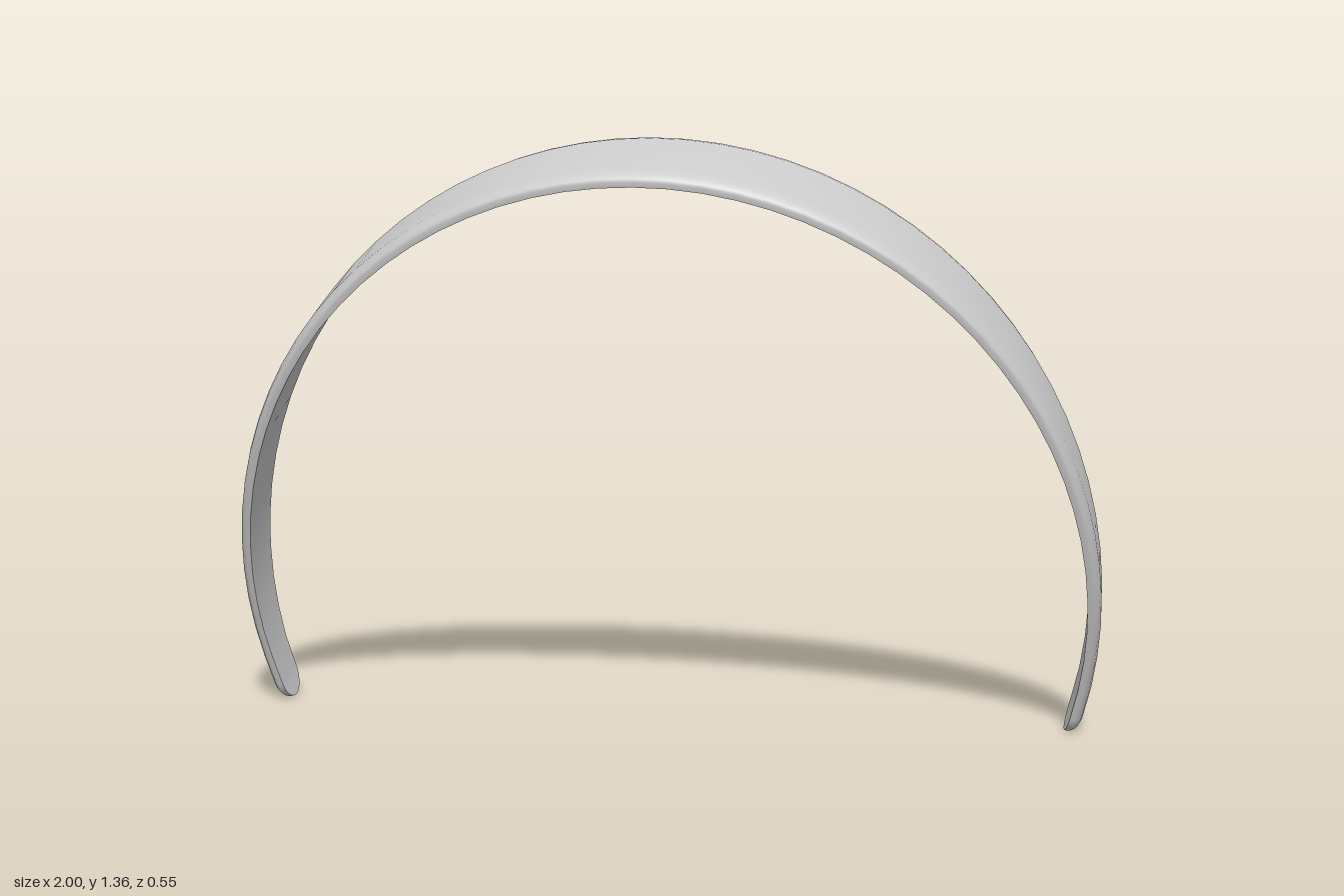
import * as THREE from 'three';
import { mergeVertices } from 'three/addons/utils/BufferGeometryUtils.js';

const TILT = THREE.MathUtils.degToRad(16); // lean of the arch towards the front
const RX = 1, RV = 1.057, CENTRE_V = 0.27; // outer ellipse of the arch
const CENTRE_W = -0.23; // middle line of the band across its width
const THICK = 0.03, BEVEL = 0.035, TIP = 0.055;
const START = -0.3215, END = Math.PI - START;

// Stations along the arch, closer together at the rounded tips
function stations() {
  const tip = [], tipAngle = TIP / 1.05, body = 48, n = 8;
  for (let i = 0; i < n; i++) tip.push(tipAngle * (1 - Math.cos((i / n) * Math.PI / 2)));
  const list = tip.map((t) => START + t);
  for (let i = 0; i <= body; i++) {
    list.push(THREE.MathUtils.lerp(START + tipAngle, END - tipAngle, i / body));
  }
  return list.concat(tip.reverse().map((t) => END - t));
}

// Half width and thickness: widest at the crown, closing in a round tip
function sizeAt(theta) {
  const v = CENTRE_V + RV * Math.sin(theta);
  const rise = THREE.MathUtils.clamp((v - 0.04) / 1.29, 0, 1);
  const d = Math.min(theta - START, END - theta) * 1.05;
  const close = Math.sqrt(Math.max(0, 1 - Math.max(0, 1 - d / TIP) ** 2));
  return { half: (0.053 + 0.085 * rise ** 0.92) * close, thick: THICK * close };
}

// Point on the band: w across the width, t height above the inner face
function place(theta, w, t) {
  const inset = THICK - t;
  const x = (RX - inset) * Math.cos(theta);
  const v = CENTRE_V + (RV - inset) * Math.sin(theta);
  const u = CENTRE_W + w;
  return [x, v * Math.cos(TILT) - u * Math.sin(TILT), v * Math.sin(TILT) + u * Math.cos(TILT)];
}

// Surface swept along the arch from a cross-section rule
function sweep(section) {
  const position = [], index = [], list = stations();
  let m = 0;
  list.forEach((theta) => {
    const points = section(sizeAt(theta));
    m = points.length;
    points.forEach(([w, t]) => position.push(...place(theta, w, t)));
  });
  for (let i = 0; i < list.length - 1; i++) {
    for (let j = 0; j < m - 1; j++) {
      const a = i * m + j, b = a + m;
      index.push(a, b, a + 1, b, b + 1, a + 1);
    }
  }
  const g = new THREE.BufferGeometry();
  g.setAttribute('position', new THREE.Float32BufferAttribute(position, 3));
  g.setIndex(index);
  const merged = mergeVertices(g, 1e-5);
  merged.computeVertexNormals();
  return merged;
}

// Outer side: thin wall, soft bevel, flat middle, mirrored
function outerSection({ half, thick }) {
  const b = Math.min(BEVEL, half * 0.6);
  const edge = [[0, 0], [0, 0.4], [0.12, 0.6], [0.45, 0.85], [1, 1]];
  const left = edge.map(([w, t]) => [-half + w * b, t * thick]);
  const right = left.map(([w, t]) => [-w, t]).reverse();
  return [...left, [0, thick], ...right];
}

// Inner side: flat across the width
const innerSection = ({ half }) => [[half, 0], [0, 0], [-half, 0]];

export function createModel() {
  const group = new THREE.Group();
  group.name = 'headband';
  const material = new THREE.MeshStandardMaterial({ color: 0xcccccc });
  const parts = { outerBand: outerSection, innerBand: innerSection };
  for (const [name, section] of Object.entries(parts)) {
    const mesh = new THREE.Mesh(sweep(section), material);
    mesh.name = name;
    group.add(mesh);
  }
  return group;
}
